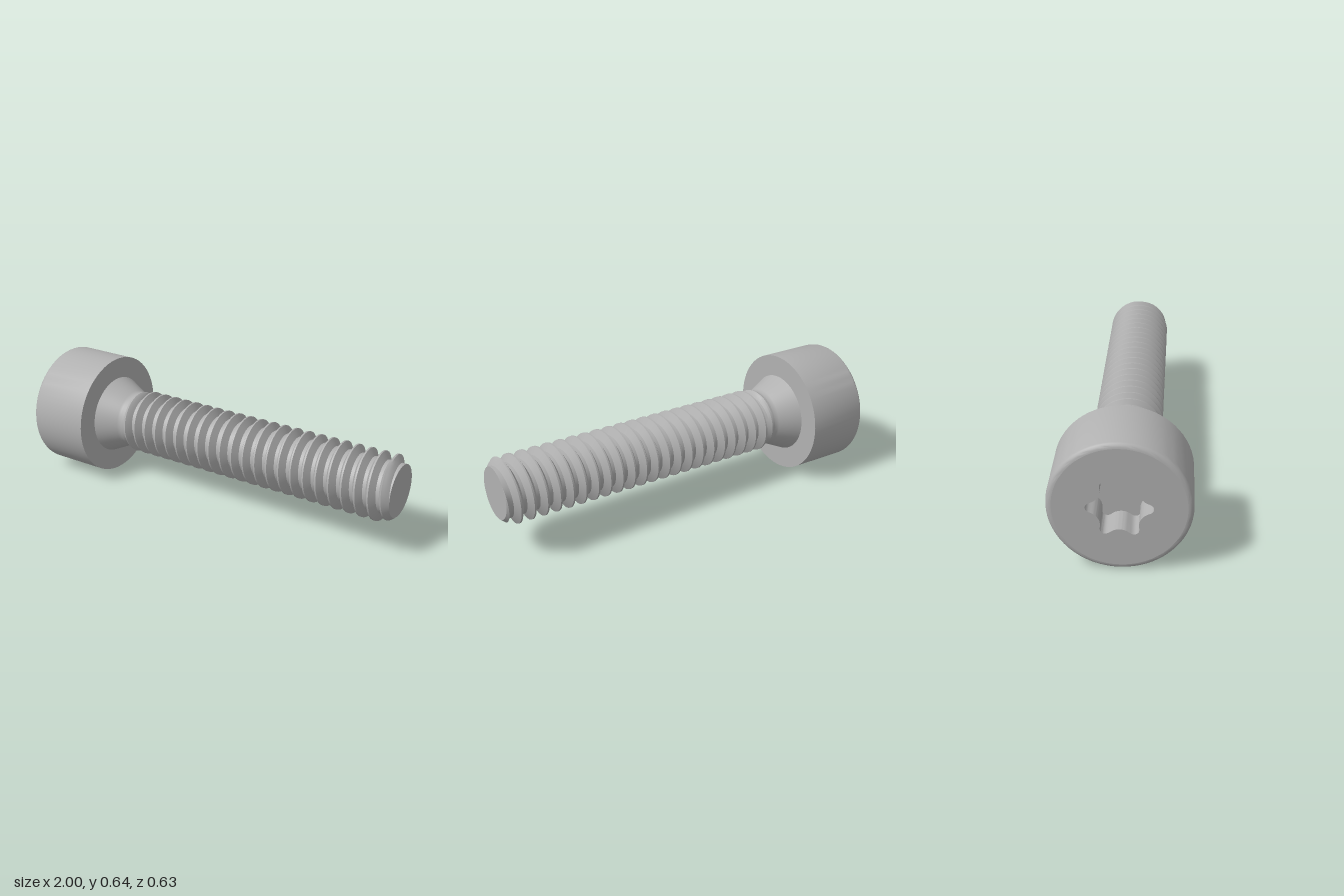
import * as THREE from 'three';
import { toCreasedNormals } from 'three/addons/utils/BufferGeometryUtils.js';

// All parts lie along the x axis: head at -x, threaded tip at +x.
const HEAD_X = -0.997, TIP_X = 0.998, NECK_X = -0.53;
const HEAD_R = 0.316, FILLET = 0.026, NECK_R = 0.148;
const ROOT_R = 0.129, CREST_R = 0.166, PITCH = 0.0667;
const SOCKET_DEPTH = 0.14, SOCKET_STEPS = 120;

// Grid surface from rings; point(i, j) gives [x, y, z]
function gridSurface(point, nu, nv) {
  const pos = [], idx = [];
  for (let j = 0; j <= nv; j++) {
    for (let i = 0; i <= nu; i++) {
      pos.push(...point(i, j));
      if (i < nu && j < nv) {
        const a = j * (nu + 1) + i, b = a + nu + 1;
        idx.push(a, a + 1, b, a + 1, b + 1, b);
      }
    }
  }
  const g = new THREE.BufferGeometry();
  g.setAttribute('position', new THREE.Float32BufferAttribute(pos, 3));
  g.setIndex(idx);
  return toCreasedNormals(g, 0.5);
}

// Six-lobed socket outline: narrow outer arcs between wide inward bulges
function socketRadius(angle) {
  const sector = Math.PI / 3;
  const a = Math.abs(angle - sector * Math.round(angle / sector));
  if (a < 0.162) {
    const c = 0.1235, q = 0.023;
    return c * Math.cos(a) + Math.sqrt(q * q - (c * Math.sin(a)) ** 2);
  }
  const b = sector / 2 - a, c = 0.1693, q = 0.0637;
  return c * Math.cos(b) - Math.sqrt(Math.max(0, q * q - (c * Math.sin(b)) ** 2));
}

function socketPoints() {
  const pts = [];
  for (let i = 0; i < SOCKET_STEPS; i++) {
    const a = (i / SOCKET_STEPS) * Math.PI * 2, r = socketRadius(a);
    pts.push(new THREE.Vector2(r * Math.cos(a), r * Math.sin(a)));
  }
  return pts;
}

// Thread radius at axial position x and profile phase f (crest at f = 0)
function threadRadius(x, f) {
  const d = Math.abs(f - Math.round(f));
  const t = THREE.MathUtils.clamp((0.375 - d) / 0.3125, 0, 1);
  let r = ROOT_R + (CREST_R - ROOT_R) * t;
  r = THREE.MathUtils.lerp(NECK_R, r, THREE.MathUtils.smoothstep(x, NECK_X, NECK_X + 0.05));
  return Math.min(r, ROOT_R + (TIP_X - x) * 0.9);
}

export function createModel() {
  const group = new THREE.Group();
  group.name = 'socketHeadScrew';
  const steel = new THREE.MeshStandardMaterial({ color: 0xb0b0b0 });
  steel.name = 'greySteel';

  const add = (name, geometry) => {
    const mesh = new THREE.Mesh(geometry, steel);
    mesh.name = name;
    group.add(mesh);
    return mesh;
  };
  const lathe = (profile) => {
    const g = new THREE.LatheGeometry(profile.map(([r, x]) => new THREE.Vector2(r, x)), 64);
    return toCreasedNormals(g.rotateZ(-Math.PI / 2), 0.5);
  };

  // Head: rounded outer rim, straight side, flat underside
  const headProfile = [];
  for (let i = 0; i <= 5; i++) {
    const a = (i / 5) * Math.PI / 2;
    headProfile.push([HEAD_R - FILLET + FILLET * Math.sin(a), HEAD_X + FILLET * (1 - Math.cos(a))]);
  }
  headProfile.push([HEAD_R, -0.665], [0.205, -0.665]);
  add('head', lathe(headProfile));

  // Tapered neck under the head
  add('neck', lathe([[0.205, -0.665], [0.175, -0.603], [0.153, -0.555], [NECK_R, -0.545], [NECK_R, NECK_X]]));

  // Head face with the socket opening
  const face = new THREE.Shape().absarc(0, 0, HEAD_R - FILLET, 0, Math.PI * 2);
  face.holes.push(new THREE.Path(socketPoints()));
  add('headFace', new THREE.ShapeGeometry(face, 32).rotateY(-Math.PI / 2)).position.x = HEAD_X;

  // Socket walls and floor
  add('socketWall', gridSurface((i, j) => {
    const a = ((i % SOCKET_STEPS) / SOCKET_STEPS) * Math.PI * 2, r = socketRadius(a);
    return [HEAD_X + j * SOCKET_DEPTH, r * Math.sin(a), r * Math.cos(a)];
  }, SOCKET_STEPS, 1));
  add('socketFloor', new THREE.ShapeGeometry(new THREE.Shape(socketPoints())).rotateY(-Math.PI / 2))
    .position.x = HEAD_X + SOCKET_DEPTH;

  // Helical thread: grid rows follow the crest and root edges
  const breaks = [-0.0625, 0.0625, 0.21, 0.375, 0.625, 0.79];
  const turns = 26, around = 64;
  add('thread', gridSurface((i, j) => {
    const a = (i / around) * Math.PI * 2;
    const f = breaks[j % 6];
    const along = 0.955 + PITCH * (Math.floor(j / 6) - 24 + f + i / around);
    const x = THREE.MathUtils.clamp(along, NECK_X, TIP_X);
    const r = threadRadius(x, f);
    return [x, r * Math.cos(a), r * Math.sin(a)];
  }, around, turns * 6));

  // Flat tip
  add('tipFace', new THREE.CircleGeometry(ROOT_R, 64).rotateY(Math.PI / 2)).position.x = TIP_X;

  // Slight upward lean toward the tip
  group.rotation.z = 0.0125;
  group.position.set(0, 0.3285, 0.001);
  return group;
}
